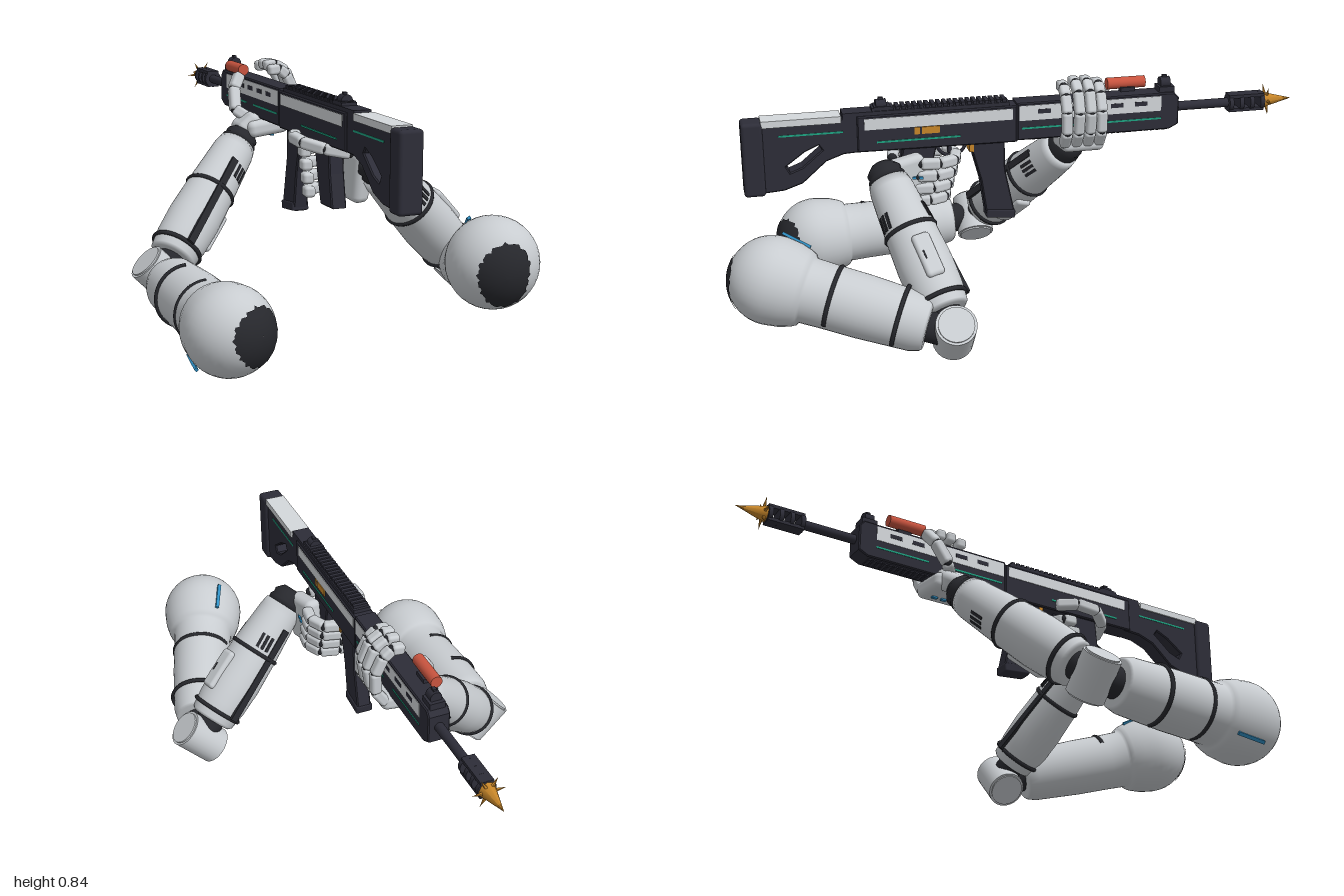
import * as THREE from 'three';
import { RoundedBoxGeometry } from 'three/addons/geometries/RoundedBoxGeometry.js';

const mat = (name, color) => Object.assign(new THREE.MeshStandardMaterial({ color }), { name });
const shell = mat('light shell', 0xc8ccd0);
const panel = mat('gun panel', 0xd4d8db);
const dark = mat('dark joint', 0x27282d);
const gunDark = mat('gun body', 0x2d2d38);
const red = mat('red sight', 0xc9543f);
const amber = mat('amber', 0xc8872a);
const teal = mat('teal line', 0x1fa583);
const blue = mat('blue mark', 0x2f8fc4);

const V = (a) => new THREE.Vector3(...a);

function add(parent, name, geo, material, pos = [0, 0, 0], rot = [0, 0, 0]) {
  const m = new THREE.Mesh(geo, material);
  m.name = name;
  m.position.set(...pos);
  m.rotation.set(...rot);
  parent.add(m);
  return m;
}

// Box given by half width in x and ranges in y and z
function slab(parent, name, material, hx, y0, y1, z0, z1, x = 0) {
  return add(parent, name, new THREE.BoxGeometry(hx * 2, y1 - y0, z1 - z0), material, [x, (y0 + y1) / 2, (z0 + z1) / 2]);
}

// Side outline in [z, y], extruded across x
function profile(parent, name, material, pts, width, hole) {
  const toV = (list) => list.map((p) => new THREE.Vector2(...p));
  const shape = new THREE.Shape(toV(pts));
  if (hole) shape.holes.push(new THREE.Path(toV(hole)));
  const b = 0.004;
  const geo = new THREE.ExtrudeGeometry(shape, { depth: width - 2 * b, bevelSize: b, bevelThickness: b, bevelSegments: 1 });
  geo.translate(0, 0, -width / 2 + b).rotateY(-Math.PI / 2);
  return add(parent, name, geo, material);
}

// Group at a, its y axis running to b and its z axis near the hint
function frame(parent, name, a, b, hint = [0, 0, 1]) {
  const g = new THREE.Group();
  const y = V(b).sub(V(a)).normalize();
  const z = V(hint).addScaledVector(y, -V(hint).dot(y)).normalize();
  const x = new THREE.Vector3().crossVectors(y, z);
  g.quaternion.setFromRotationMatrix(new THREE.Matrix4().makeBasis(x, y, z));
  g.position.set(...a);
  g.name = name;
  parent.add(g);
  return g;
}

const lathe = (pts) => new THREE.LatheGeometry(pts.map((p) => new THREE.Vector2(...p)), 36);
const tube = (r0, r1, h) => new THREE.CylinderGeometry(r0, r1, h, 28);

// Dark band round a limb, from angle start over the given arc
function ring(parent, r, y, start = 0, arc = Math.PI * 2) {
  const geo = new THREE.TorusGeometry(r, 0.006, 6, 40, arc).rotateX(Math.PI / 2).scale(1, 1.3, 1);
  add(parent, 'band', geo, dark, [0, y, 0], [0, -start, 0]);
}

// Finger: boxy bones between points, with dark knuckles
function finger(parent, name, pts, w, hint) {
  const g = new THREE.Group();
  g.name = name;
  parent.add(g);
  for (let i = 0; i < pts.length - 1; i++) {
    const len = V(pts[i]).distanceTo(V(pts[i + 1]));
    const bone = frame(g, 'bone', pts[i], pts[i + 1], hint);
    add(bone, 'bonePlate', new RoundedBoxGeometry(w, len * 1.1, w, 2, w * 0.3), shell, [0, len / 2, 0]);
    add(bone, 'knuckle', new THREE.SphereGeometry(w * 0.42, 10, 8), dark);
  }
}

// Shoulder, upper arm, elbow and forearm
function arm(root, name, o) {
  const g = new THREE.Group();
  g.name = name;
  root.add(g);
  const R = 0.143;
  const L = V(o.shoulder).distanceTo(V(o.elbow));
  const end = L - 0.085;

  const upper = frame(g, 'upperArm', o.shoulder, o.elbow, [0, 1, 0]);
  const pts = [];
  for (let i = 0; i <= 12; i++) {
    const a = -Math.PI / 2 + (i / 12) * 1.75;
    pts.push([Math.max(R * Math.cos(a), 0.0001), R * Math.sin(a)]);
  }
  pts.push([0.136, 0.06], [0.125, 0.095], [0.117, 0.11], [0.106, 0.117], [0.104, 0.18], [0.103, 0.3],
    [0.095, end - 0.04], [0.086, end - 0.008], [0.078, end], [0.0001, end]);
  add(upper, 'upperArmShell', lathe(pts), shell);
  for (const y of o.bands) ring(upper, 0.103, y, o.bandStart, 3.3);
  add(upper, 'elbowLink', tube(0.05, 0.055, 0.13), dark, [0, end + 0.03, 0]);
  const mark = new THREE.BoxGeometry(0.012, 0.1, 0.009).rotateX(-0.18);
  add(upper, 'shoulderMark', mark, blue, [0.142 * Math.cos(o.mark), 0.035, 0.142 * Math.sin(o.mark)], [0, Math.PI / 2 - o.mark, 0]);

  // ragged dark opening on the back of the shoulder
  const cap = new THREE.SphereGeometry(R + 0.003, 72, 8, 0, Math.PI * 2, 0, 0.66);
  const p = cap.attributes.position;
  const v = new THREE.Vector3();
  for (let i = 0; i < p.count; i++) {
    v.fromBufferAttribute(p, i);
    const a = Math.atan2(v.z, v.x);
    const ragged = 0.06 * Math.sin(3 * a + 1) + 0.04 * Math.sin(17 * a) + 0.03 * Math.sin(29 * a);
    const th = Math.acos(Math.min(1, v.y / (R + 0.003))) * (1 + ragged - o.capTall * Math.cos(2 * a));
    v.set(Math.sin(th) * Math.cos(a), Math.cos(th), Math.sin(th) * Math.sin(a)).multiplyScalar(R + 0.003);
    p.setXYZ(i, v.x, v.y, v.z);
  }
  cap.computeVertexNormals();
  const capFrame = frame(g, 'shoulderCap', o.shoulder, V(o.shoulder).add(V(o.capDir)).toArray(), [0, 1, 0]);
  add(capFrame, 'shoulderOpening', cap, dark);

  const hinge = frame(g, 'elbow', o.elbow, V(o.elbow).add(V(o.hinge)).toArray());
  add(hinge, 'elbowDrum', tube(0.066, 0.066, 0.145), shell);
  for (const s of [-1, 1]) add(hinge, 'elbowDisc', tube(0.058, 0.058, 0.008), shell, [0, s * 0.074, 0]);

  const F = V(o.elbow).distanceTo(V(o.wrist));
  const fore = frame(g, 'forearm', o.elbow, o.wrist);
  add(fore, 'forearmLink', tube(0.05, 0.05, 0.1), dark, [0, 0.05, 0]);
  add(fore, 'forearmShell', lathe([[0.0001, 0.075], [0.07, 0.075], [0.08, 0.085], [0.089, 0.15], [0.092, 0.24],
    [0.086, 0.36], [0.073, F - 0.055], [0.067, F - 0.025], [0.0001, F - 0.025]]), shell);
  ring(fore, 0.087, 0.115);
  ring(fore, 0.086, 0.365);
  add(fore, 'wristCuff', lathe([[0.0001, F - 0.04], [0.06, F - 0.04], [0.063, F - 0.01], [0.056, F], [0.058, F + 0.015],
    [0.045, F + 0.03], [0.035, F + 0.04], [0.0001, F + 0.04]]), dark);
  add(fore, 'forearmPlate', new RoundedBoxGeometry(0.03, 0.15, 0.06, 3, 0.013), shell, [0.086, 0.245, 0]);
  add(fore, 'plateSlot', new THREE.BoxGeometry(0.004, 0.03, 0.006), dark, [0.1, 0.245, 0.012]);

  // vents and a dark strip along the forearm
  for (const s of [-1, 1]) {
    for (let i = 0; i < 3; i++) {
      const a = 0.2 + i * 0.23;
      add(fore, 'vent', new THREE.BoxGeometry(0.011, 0.055, 0.01), dark,
        [Math.sin(a) * o.ventR, o.ventY, s * Math.cos(a) * o.ventR], [-0.1 * s, a * s, 0]);
    }
  }
  const s = o.stripSide;
  add(fore, 'forearmStrip', new THREE.BoxGeometry(0.026, 0.37, 0.012), dark, [-0.014, 0.3, s * 0.086], [-0.06 * s, 0, 0]);
  return g;
}

function buildRifle(root) {
  const g = new THREE.Group();
  g.name = 'rifle';
  root.add(g);
  const Y = 0.705;

  // stock
  profile(g, 'stock', gunDark, [[0.85, 0.752], [0.5, 0.752], [0.5, 0.64], [0.58, 0.636], [0.64, 0.615], [0.72, 0.545], [0.78, 0.525], [0.85, 0.52]],
    0.06, [[0.775, 0.605], [0.76, 0.577], [0.715, 0.594], [0.645, 0.652], [0.66, 0.674], [0.71, 0.652]]);
  add(g, 'buttPad', new RoundedBoxGeometry(0.08, 0.252, 0.07, 2, 0.012), gunDark, [0, 0.635, 0.875]);
  slab(g, 'cheekRest', panel, 0.035, 0.742, 0.765, 0.585, 0.845);

  // receiver and handguard
  profile(g, 'receiver', gunDark, [[0.53, 0.755], [0.0, 0.755], [0.0, 0.635], [0.53, 0.64]], 0.072);
  slab(g, 'receiverPanel', panel, 0.038, 0.712, 0.75, 0.01, 0.51);
  profile(g, 'handguard', gunDark, [[-0.008, 0.762], [-0.555, 0.762], [-0.57, 0.745], [-0.57, 0.655], [-0.54, 0.64], [-0.008, 0.64]], 0.074);
  slab(g, 'handguardPanel', panel, 0.0385, 0.705, 0.757, -0.51, -0.012);
  for (let i = 0; i < 5; i++) slab(g, 'handguardSlot', gunDark, 0.0395, 0.727, 0.742, -0.12 - i * 0.085, -0.075 - i * 0.085);
  for (let i = 0; i < 24; i++) slab(g, 'lowerRailTooth', gunDark, 0.022, 0.631, 0.642, -0.53 + i * 0.02, -0.518 + i * 0.02);
  slab(g, 'topRail', gunDark, 0.03, 0.752, 0.772, 0.02, 0.58);
  for (let i = 0; i < 23; i++) slab(g, 'railTooth', gunDark, 0.026, 0.765, 0.782, 0.03 + i * 0.02, 0.043 + i * 0.02);

  // coloured side marks
  for (const [y, z0, z1] of [[0.71, 0.58, 0.79], [0.668, 0.19, 0.47], [0.678, -0.24, -0.02], [0.678, -0.51, -0.31]])
    slab(g, 'tealLine', teal, z0 > 0.5 ? 0.0315 : 0.0385, y - 0.003, y + 0.003, z0, z1);
  slab(g, 'amberWindow', amber, 0.003, 0.686, 0.71, 0.26, 0.345, 0.0365);
  slab(g, 'windowFrame', gunDark, 0.003, 0.686, 0.71, 0.32, 0.327, 0.0372);

  // sights
  for (const [z, h] of [[-0.53, 0.815], [0.45, 0.805]]) {
    slab(g, 'sightBase', gunDark, 0.026, 0.755, 0.785, z - 0.03, z + 0.025);
    add(g, 'sightRing', new THREE.CylinderGeometry(0.02, 0.02, 0.035, 16).rotateX(Math.PI / 2), gunDark, [0, h - 0.02, z]);
    slab(g, 'sightPost', gunDark, 0.006, h - 0.02, h + 0.006, z - 0.008, z + 0.008);
  }
  add(g, 'redSight', new THREE.CylinderGeometry(0.02, 0.02, 0.135, 24).rotateX(Math.PI / 2), red, [-0.038, 0.791, -0.403]);
  slab(g, 'redSightMount', gunDark, 0.012, 0.755, 0.78, -0.43, -0.38, -0.025);

  // barrel and slotted muzzle brake
  add(g, 'barrel', new THREE.CylinderGeometry(0.016, 0.016, 0.21, 20).rotateX(Math.PI / 2), gunDark, [0, Y, -0.665]);
  for (const z of [-0.772, -0.81, -0.848, -0.886])
    add(g, 'brakeRing', new THREE.CylinderGeometry(0.031, 0.031, 0.015, 20).rotateX(Math.PI / 2), gunDark, [0, Y, z]);
  for (const s of [-1, 1]) slab(g, 'brakeBar', gunDark, 0.022, Y + s * 0.024 - 0.006, Y + s * 0.024 + 0.006, -0.893, -0.765);

  // muzzle flash
  add(g, 'flash', new THREE.ConeGeometry(0.028, 0.105, 8).rotateX(-Math.PI / 2), amber, [0, Y, -0.9475]);
  for (let i = 0; i < 6; i++) {
    const a = (i / 6) * Math.PI * 2;
    add(g, 'flashSpike', new THREE.ConeGeometry(0.01, 0.056, 5).translate(0, 0.028, 0), amber, [0, Y, -0.905], [0, 0, a + Math.PI / 2]);
  }

  // magazine, grip and trigger
  profile(g, 'magazine', gunDark, [[0.155, 0.645], [0.04, 0.645], [0.038, 0.53], [0.005, 0.375], [0.095, 0.365], [0.115, 0.5]], 0.05);
  add(g, 'magazineBase', new RoundedBoxGeometry(0.06, 0.03, 0.1, 1, 0.005), gunDark, [0, 0.372, 0.05], [-0.1, 0, 0]);
  profile(g, 'pistolGrip', gunDark, [[0.38, 0.645], [0.27, 0.645], [0.295, 0.54], [0.325, 0.435], [0.41, 0.435], [0.39, 0.54]], 0.052);
  add(g, 'triggerGuard', new THREE.TorusGeometry(0.05, 0.006, 6, 20, Math.PI).rotateY(Math.PI / 2), gunDark, [0, 0.64, 0.215], [0, 0, Math.PI]);
  slab(g, 'trigger', gunDark, 0.006, 0.6, 0.64, 0.215, 0.228);
  slab(g, 'magazineCatch', amber, 0.028, 0.605, 0.632, 0.143, 0.158);
}

export function createModel() {
  const root = new THREE.Group();
  root.name = 'armsWithRifle';
  buildRifle(root);

  const support = arm(root, 'supportArm', {
    shoulder: [-0.46, 0.146, 0.64], elbow: [-0.48, 0.17, 0.045], wrist: [-0.1, 0.56, -0.215],
    capDir: [0.4, 0.03, 0.92], capTall: 0.04, hinge: [-0.7, 0.71, 0],
    bands: [0.185, 0.36], bandStart: 1.6, mark: 3.9, stripSide: 1, ventY: 0.455, ventR: 0.076,
  });
  const firing = arm(root, 'firingArm', {
    shoulder: [0.307, 0.33, 0.852], elbow: [0.508, 0.18, 0.31], wrist: [0.105, 0.575, 0.455],
    capDir: [-0.22, -0.12, 0.97], capTall: 0.15, hinge: [0.7, 0.71, 0.05],
    bands: [0.2, 0.42], bandStart: -0.6, mark: 2.06, stripSide: -1, ventY: 0.41, ventR: 0.08,
  });

  // supporting hand, cupped under the handguard
  add(support, 'palm', new RoundedBoxGeometry(0.15, 0.06, 0.15, 3, 0.022), shell, [-0.01, 0.608, -0.23], [0, 0, 0.12]);
  add(support, 'heel', new RoundedBoxGeometry(0.09, 0.07, 0.11, 3, 0.025), shell, [-0.065, 0.61, -0.23], [0, 0, 0.7]);
  for (let i = 0; i < 3; i++) slab(support, 'palmMark', blue, 0.006, 0.574, 0.581, -0.27 + i * 0.035, -0.25 + i * 0.035, 0.01);
  for (let i = 0; i < 4; i++) {
    const z = -0.165 - i * 0.04;
    const d = [-0.012, 0, 0, -0.01][i];
    finger(support, 'finger', [[0.05, 0.615, z], [0.085, 0.665, z], [0.096 + d, 0.735, z], [0.07 + d, 0.8 + d, z], [0.03, 0.824 + d, z], [-0.01, 0.82 + d, z]], 0.036, [0, 0, 1]);
  }
  finger(support, 'thumb', [[-0.06, 0.635, -0.24], [-0.095, 0.66, -0.27], [-0.085, 0.73, -0.31], [-0.055, 0.775, -0.335]], 0.04, [0, 0, 1]);

  // firing hand, wrapped around the pistol grip
  add(firing, 'palm', new RoundedBoxGeometry(0.06, 0.17, 0.13, 3, 0.022), shell, [0.065, 0.535, 0.375], [0.15, 0.2, 0]);
  for (let i = 0; i < 3; i++) slab(firing, 'palmMark', blue, 0.003, 0.55, 0.558, 0.33 + i * 0.022, 0.343 + i * 0.022, 0.1 - i * 0.004);
  for (let i = 0; i < 4; i++) {
    const y = 0.595 - i * 0.042;
    const z = i * 0.012;
    finger(firing, 'finger', [[0.078, y, 0.33 + z], [0.085, y, 0.27 + z], [0.06, y, 0.215 + z], [0.0, y, 0.2 + z], [-0.05, y, 0.23 + z], [-0.055, y, 0.275 + z]], 0.037, [0, 1, 0]);
  }
  finger(firing, 'thumb', [[0.03, 0.61, 0.42], [-0.045, 0.625, 0.4], [-0.095, 0.64, 0.34], [-0.095, 0.645, 0.26], [-0.06, 0.64, 0.195]], 0.038, [0, 1, 0]);
  return root;
}
